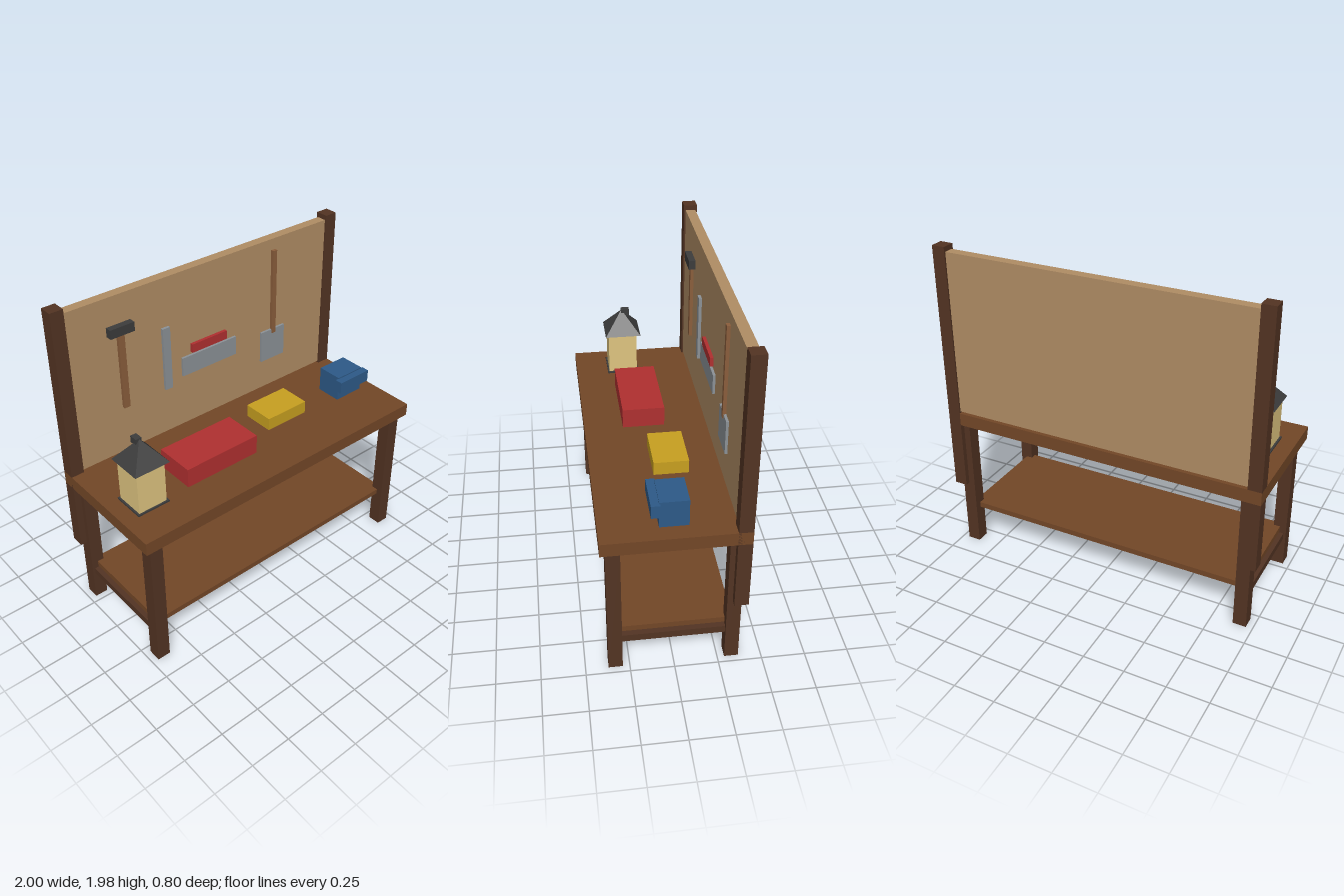
import * as THREE from 'three';

const mat = (color) => new THREE.MeshStandardMaterial({ color, flatShading: true });

export function createModel() {
  const model = new THREE.Group();
  model.name = 'workbench';

  const darkWood = mat(0x533423);
  const wood = mat(0x734727);
  const handleWood = mat(0x8b5e3c);
  const corkboard = mat(0xb08d64);
  const steel = mat(0x8c9297);
  const iron = mat(0x3c3c3c);
  const red = mat(0xb03030);
  const yellow = mat(0xc8a020);
  const blue = mat(0x2d5a88);
  const glow = mat(0xdfc580);

  // Box given by its extents along x, y and z
  function box(name, material, [x0, x1], [y0, y1], [z0, z1], parent = model) {
    const mesh = new THREE.Mesh(new THREE.BoxGeometry(x1 - x0, y1 - y0, z1 - z0), material);
    mesh.position.set((x0 + x1) / 2, (y0 + y1) / 2, (z0 + z1) / 2);
    mesh.name = name;
    parent.add(mesh);
    return mesh;
  }

  function group(name) {
    const g = new THREE.Group();
    g.name = name;
    model.add(g);
    return g;
  }

  // Bench: top, lower shelf, legs, side rails and back posts
  box('tableTop', wood, [-1, 1], [0.86, 0.94], [-0.4, 0.4]);
  box('lowerShelf', wood, [-0.92, 0.92], [0.235, 0.27], [-0.33, 0.33]);
  for (const s of [-1, 1]) {
    const side = s < 0 ? 'right' : 'left';
    const across = (a, b) => (s > 0 ? [a, b] : [-b, -a]);
    box(side + 'FrontLeg', darkWood, across(0.88, 0.96), [0, 0.86], [0.29, 0.37]);
    box(side + 'BackLeg', darkWood, across(0.88, 0.96), [0, 0.86], [-0.37, -0.29]);
    box(side + 'Rail', darkWood, across(0.895, 0.945), [0.18, 0.225], [-0.3, 0.3]);
    box(side + 'BackPost', darkWood, across(0.92, 1), [0.43, 1.98], [-0.4, -0.32]);
  }
  box('toolBoard', corkboard, [-0.95, 0.95], [0.95, 1.95], [-0.39, -0.33]);

  // Tools hanging on the board
  const hammer = group('hammer');
  box('hammerHandle', handleWood, [-0.62, -0.58], [1.25, 1.73], [-0.33, -0.31], hammer);
  box('hammerHead', iron, [-0.68, -0.525], [1.725, 1.78], [-0.33, -0.29], hammer);

  box('file', steel, [-0.33, -0.28], [1.25, 1.65], [-0.33, -0.312]);

  const saw = group('saw');
  box('sawBlade', steel, [-0.2, 0.2], [1.29, 1.41], [-0.33, -0.315], saw);
  box('sawHandle', red, [-0.13, 0.125], [1.425, 1.48], [-0.33, -0.31], saw);

  const shovel = group('shovel');
  box('shovelHandle', handleWood, [0.485, 0.515], [1.33, 1.88], [-0.33, -0.31], shovel);
  box('shovelBlade', steel, [0.405, 0.59], [1.15, 1.355], [-0.33, -0.315], shovel);

  // Lantern with a pyramid roof
  const lantern = group('lantern');
  box('lanternBase', iron, [-0.905, -0.7], [0.94, 0.95], [0, 0.2], lantern);
  box('lanternBody', glow, [-0.893, -0.713], [0.95, 1.21], [0.01, 0.19], lantern);
  const roof = new THREE.Mesh(new THREE.ConeGeometry(0.158, 0.14, 4), iron);
  roof.geometry.rotateY(Math.PI / 4);
  roof.position.set(-0.8, 1.28, 0.098);
  roof.name = 'lanternRoof';
  lantern.add(roof);
  box('lanternKnob', iron, [-0.822, -0.785], [1.315, 1.355], [0.05, 0.1], lantern);

  // Boxes and vise standing on the top
  box('redBox', red, [-0.55, -0.05], [0.94, 1.06], [-0.08, 0.17]);
  box('yellowBox', yellow, [0.15, 0.447], [0.94, 1.02], [-0.15, 0.05]);
  const vise = group('vise');
  box('viseBody', blue, [0.7, 0.9], [0.94, 1.1], [-0.08, 0.08], vise);
  box('viseJaw', blue, [0.68, 0.917], [1.015, 1.092], [0.075, 0.125], vise);

  return model;
}
